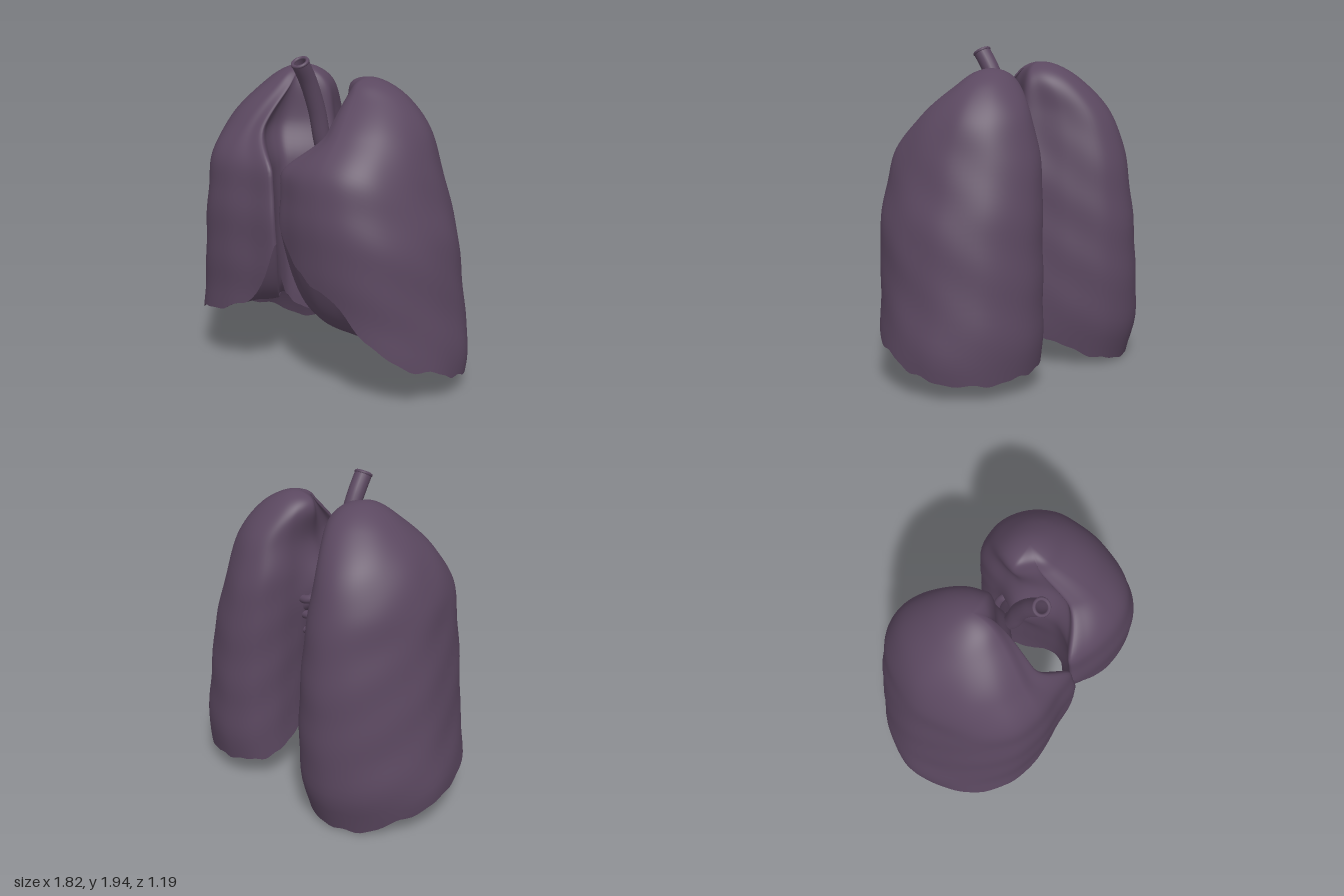
import * as THREE from 'three';

const { lerp, smoothstep } = THREE.MathUtils;
const tissue = new THREE.MeshStandardMaterial({ color: 0x5b4860, side: THREE.DoubleSide });
const COLS = 120, ROWS = 56, UNDER = 28;

// Outline points: x, z and the height of the lower rim there.
// Levels, top to bottom: y, xMin, xMax, zMin, zMax.
const RIGHT = {
  flip: true, dome: 0.5, centre: [-0.46, -0.1], hilum: 0.08,
  outline: [
    [0, 0.46, 0.95], [-0.2, 0.48, 0.6], [-0.42, 0.49, 0.48], [-0.64, 0.43, 0.42], [-0.81, 0.25, 0.33],
    [-0.89, 0.02, 0.27], [-0.9, -0.2, 0.22], [-0.8, -0.42, 0.15], [-0.62, -0.59, 0.07], [-0.43, -0.65, 0.08],
    [-0.25, -0.6, 0.1], [-0.1, -0.42, 0.18], [-0.02, -0.25, 0.26], [0.05, -0.1, 0.38], [-0.08, 0.06, 0.42],
    [-0.18, 0.15, 0.48], [-0.18, 0.23, 0.6], [-0.11, 0.35, 0.82],
  ],
  levels: [
    [1.91, -0.27, -0.27, -0.08, -0.08], [1.88, -0.38, -0.16, -0.21, 0.04], [1.8, -0.5, -0.09, -0.33, 0.14],
    [1.6, -0.68, -0.06, -0.49, 0.33], [1.4, -0.76, -0.03, -0.57, 0.46], [1.2, -0.79, 0, -0.605, 0.49],
    [1.0, -0.82, 0.02, -0.63, 0.5], [0.6, -0.87, 0.05, -0.645, 0.49], [0.3, -0.91, 0.05, -0.63, 0.48],
    [0.04, -0.87, 0, -0.56, 0.46],
  ],
};
const LEFT = {
  flip: false, dome: 0.45, centre: [0.5, 0], hilum: 0.45,
  outline: [
    [-0.02, 0.42, 1.1], [0.1, 0.48, 0.92], [0.25, 0.52, 0.8], [0.42, 0.53, 0.73], [0.62, 0.48, 0.5],
    [0.77, 0.36, 0.34], [0.87, 0.18, 0.28], [0.9, 0.01, 0.21], [0.88, -0.17, 0.17], [0.76, -0.37, 0.15],
    [0.6, -0.48, 0.16], [0.44, -0.52, 0.18], [0.28, -0.48, 0.2], [0.19, -0.36, 0.23], [0.17, -0.2, 0.32],
    [0.18, -0.04, 0.42], [0.18, 0.1, 0.6], [0.16, 0.22, 0.8], [0.08, 0.34, 0.98],
  ],
  levels: [
    [1.88, 0.24, 0.24, -0.08, -0.08], [1.85, 0.12, 0.36, -0.18, 0.03], [1.78, 0.06, 0.47, -0.26, 0.11],
    [1.6, 0.03, 0.62, -0.38, 0.32], [1.4, -0.02, 0.7, -0.44, 0.49], [1.2, -0.02, 0.76, -0.475, 0.53],
    [1.0, -0.02, 0.82, -0.49, 0.54], [0.6, -0.01, 0.87, -0.51, 0.51], [0.3, -0.02, 0.91, -0.51, 0.49],
    [0.1, -0.02, 0.9, -0.48, 0.47],
  ],
};

// Skin a grid of rings that close on themselves.
function skin(rings, flip) {
  const n = rings[0].length, index = [];
  for (let i = 0; i < rings.length - 1; i++) {
    for (let j = 0; j < n; j++) {
      const k = (j + 1) % n;
      const a = i * n + j, b = i * n + k, c = a + n, d = b + n;
      if (flip) index.push(a, b, c, b, d, c);
      else index.push(a, c, b, b, c, d);
    }
  }
  const geometry = new THREE.BufferGeometry().setFromPoints(rings.flat());
  geometry.setIndex(index);
  geometry.computeVertexNormals();
  return geometry;
}

function named(geometry, name) {
  const mesh = new THREE.Mesh(geometry, tissue);
  mesh.name = name;
  return mesh;
}

function makeLung(side, { flip, dome, centre, hilum, outline, levels }) {
  const curve = new THREE.CatmullRomCurve3(
    outline.map(([x, z, rim]) => new THREE.Vector3(x, rim, z)), true);
  const columns = Array.from({ length: COLS }, (_, j) => curve.getPoint(j / COLS));
  const box = new THREE.Box3().setFromPoints(columns);
  const size = box.getSize(new THREE.Vector3());
  const inward = flip ? 1 : -1; // x direction of the medial side
  const ripple = columns.map((_, j) => 0.007 * Math.sin(j * 0.7) + 0.005 * Math.sin(j * 1.25));

  // Extents are interpolated over sqrt(depth), which rounds off the apex.
  const top = levels[0][0];
  const extents = new THREE.CubicInterpolant(
    levels.map(l => Math.sqrt(top - l[0])), levels.flatMap(l => l.slice(1)), 4);

  // Outer wall: oval at the apex, kidney-shaped below, with faint slanted rib marks.
  const wall = [];
  for (let i = 0; i <= ROWS; i++) {
    wall.push(columns.map((p, j) => {
      const q = Math.sqrt(top - p.y - ripple[j]) * i / ROWS;
      const y = top - q * q;
      const [x0, x1, z0, z1] = extents.evaluate(q);
      let u = 2 * (p.x - box.min.x) / size.x - 1;
      let v = 2 * (p.z - box.min.z) / size.z - 1;
      const angle = Math.atan2(v, u), kidney = smoothstep(q, 0.1, 0.65);
      u = lerp(Math.cos(angle), u, kidney);
      v = lerp(Math.sin(angle), v, kidney);
      // The front inner margin draws aside near the top, around the windpipe.
      const medial = Math.max(0, u * inward);
      u -= inward * 0.5 * medial * smoothstep(v, -0.1, 0.7) * smoothstep(y, 1.35, 1.6);
      // Swelling where the airways enter.
      u += inward * hilum * medial * Math.exp(-(((y - 1.3) / 0.22) ** 2) - ((v + 0.1) / 0.25) ** 2);
      const rib = 1 + 0.005 * Math.sin(y * 19 - p.z * 14) * Math.min(1, q * 2);
      return new THREE.Vector3(
        (x0 + x1) / 2 + u * rib * (x1 - x0) / 2, y,
        (z0 + z1) / 2 + v * rib * (z1 - z0) / 2);
    }));
  }

  // Hollow underside between the rim and the dome; high front rims drop steeply.
  const under = [];
  for (let i = 0; i <= UNDER; i++) {
    const s = 1 - (i / UNDER) ** 1.4;
    under.push(wall[ROWS].map((p, j) => {
      const rim = columns[j].y;
      const power = lerp(2.5, 6, smoothstep(rim, dome - 0.1, dome + 0.2));
      return new THREE.Vector3(
        lerp(centre[0], p.x, s),
        lerp(dome, rim, s ** power) + ripple[j] * s ** 12,
        lerp(centre[1], p.z, s));
    }));
  }

  const lung = new THREE.Group();
  lung.name = side + 'Lung';
  lung.add(named(skin(wall, flip), side + 'LungWall'), named(skin(under, flip), side + 'LungUnderside'));
  return lung;
}

function makeTube(name, radius, points) {
  const path = new THREE.CatmullRomCurve3(points.map(p => new THREE.Vector3(...p)));
  return named(new THREE.TubeGeometry(path, 32, radius, 18), name);
}

export function createModel() {
  const model = new THREE.Group();
  model.name = 'lungs';
  model.add(makeLung('right', RIGHT), makeLung('left', LEFT));

  // Windpipe, leaning back and then dropping, with a thin inner wall and lip.
  const windpipe = [[-0.045, 1.97, 0.205], [-0.045, 1.85, 0.13], [-0.038, 1.67, 0.06],
    [-0.03, 1.45, 0.01], [-0.02, 1.28, -0.06]];
  model.add(makeTube('windpipe', 0.052, windpipe), makeTube('windpipeLining', 0.036, windpipe));
  const lip = named(new THREE.TorusGeometry(0.045, 0.011, 8, 24), 'windpipeLip');
  lip.position.set(-0.045, 1.97, 0.205);
  lip.rotation.x = -Math.PI / 2 + 0.5;
  model.add(lip);

  // Airways and vessels entering each lung.
  for (const [side, s] of [['right', -1], ['left', 1]]) {
    model.add(makeTube(side + 'Bronchus', 0.045, [[-0.02, 1.34, -0.05], [s * 0.07, 1.24, -0.11], [s * 0.25, 1.13, -0.12]]));
    for (let i = 0; i < 3; i++) {
      const y = 1.28 - i * 0.11;
      model.add(makeTube(side + 'Vessel', 0.026,
        [[0, y, -0.13 + i * 0.03], [s * 0.08, y - 0.03, -0.17 + i * 0.03], [s * 0.24, y - 0.05, -0.1]]));
    }
  }
  return model;
}
